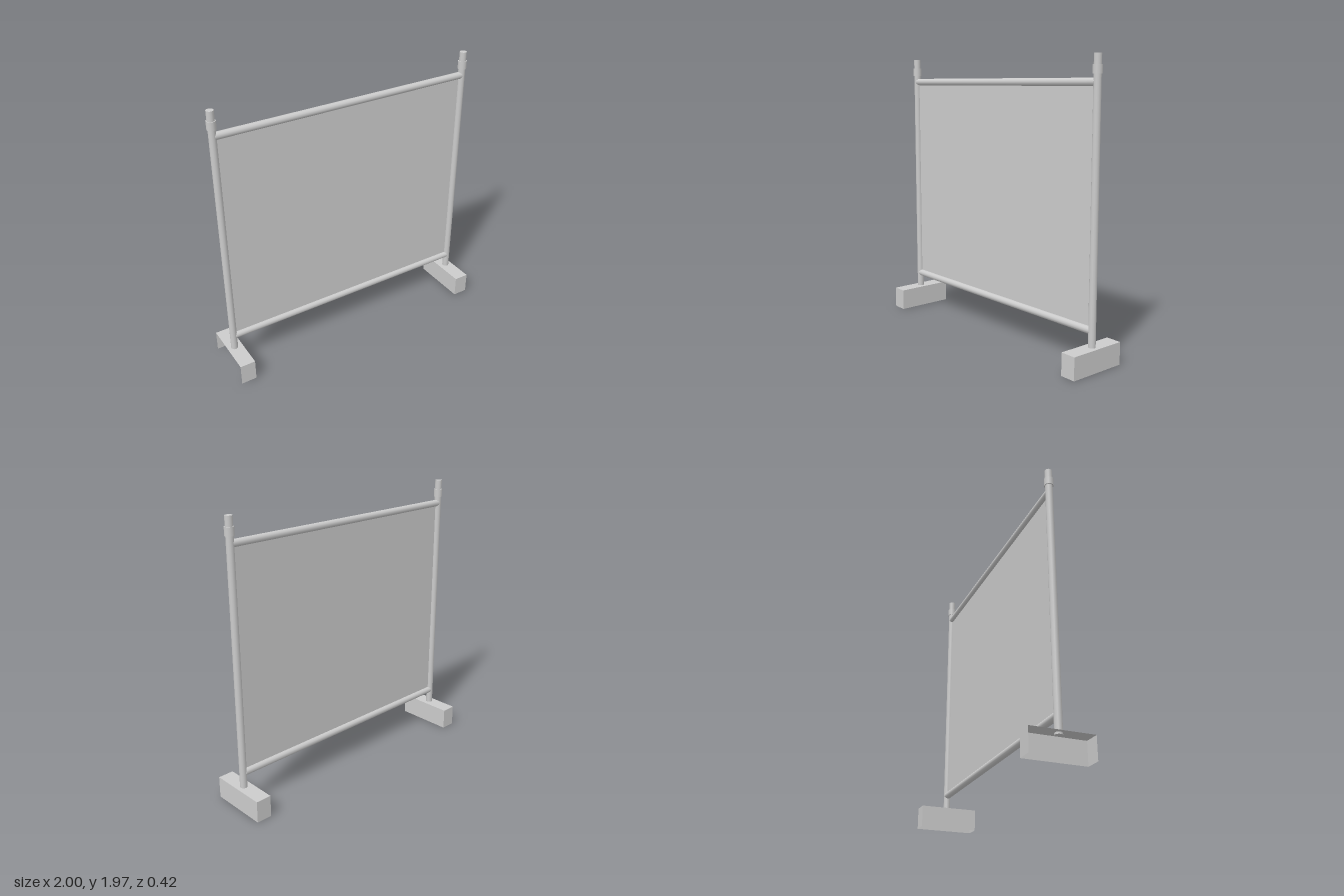
import * as THREE from 'three';

export function createModel() {
  const model = new THREE.Group();
  const grey = new THREE.MeshStandardMaterial({ color: 0xcccccc, side: THREE.DoubleSide });

  const add = (parent, geometry, name, x = 0, y = 0, z = 0) => {
    const mesh = new THREE.Mesh(geometry, grey);
    mesh.name = name;
    mesh.position.set(x, y, z);
    parent.add(mesh);
    return mesh;
  };
  // Upright tube between two heights
  const tube = (r, y0, y1) =>
    new THREE.CylinderGeometry(r, r, y1 - y0, 12).translate(0, (y0 + y1) / 2, 0);

  // Thin screen stretched inside the frame
  add(model, new THREE.PlaneGeometry(1.89, 1.54), 'screenPanel', 0, 1.03);

  // Horizontal rails
  for (const [name, y] of [['topRail', 1.8], ['bottomRail', 0.26]]) {
    add(model, new THREE.CylinderGeometry(0.025, 0.025, 1.88, 12), name, 0, y).rotation.z = Math.PI / 2;
  }

  // Posts with a collar near the top
  for (const side of [-1, 1]) {
    const post = new THREE.Group();
    post.name = side > 0 ? 'leftPost' : 'rightPost';
    post.position.x = side * 0.948;
    add(post, tube(0.025, 0.14, 1.97), 'postTube');
    add(post, tube(0.031, 1.848, 1.904), 'postCollar');
    model.add(post);
  }

  // Hollow feet made of sheet walls, open underneath
  const w = 0.11, h = 0.153, d = 0.42;
  for (const side of [-1, 1]) {
    const foot = new THREE.Group();
    foot.name = side > 0 ? 'leftFoot' : 'rightFoot';
    foot.position.x = side * (1 - w / 2);
    add(foot, new THREE.PlaneGeometry(w, d).rotateX(-Math.PI / 2), 'footTop', 0, h);
    for (const end of [-1, 1]) {
      add(foot, new THREE.PlaneGeometry(w, h).rotateY(end > 0 ? 0 : Math.PI), 'footEnd', 0, h / 2, end * d / 2);
      // The right foot has no outer wall
      if (side < 0 && end < 0) continue;
      add(foot, new THREE.PlaneGeometry(d, h).rotateY(end * Math.PI / 2), 'footSide', end * w / 2, h / 2);
    }
    model.add(foot);
  }

  return model;
}
